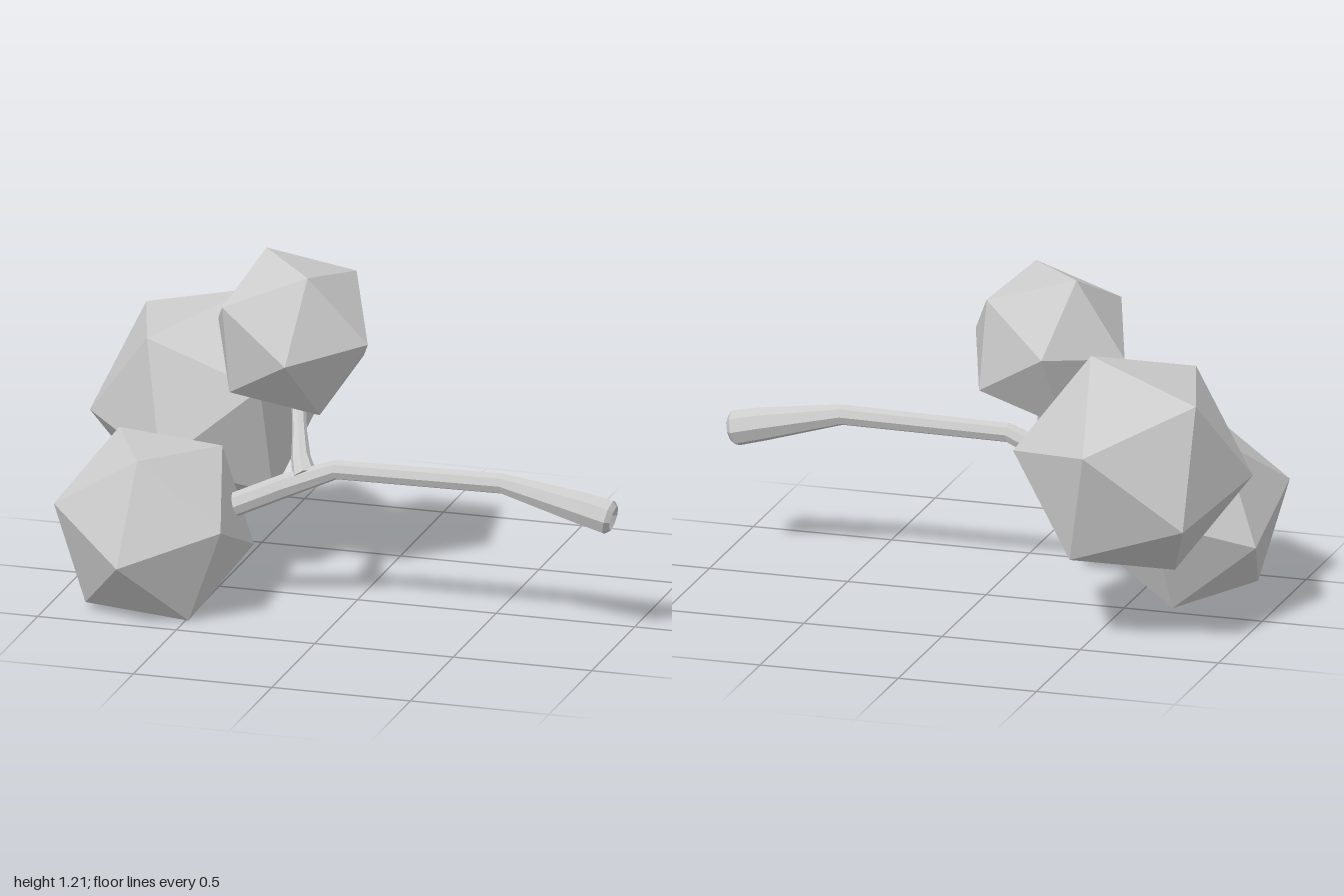
import * as THREE from 'three';

const material = new THREE.MeshStandardMaterial({ color: 0xcccccc, flatShading: true, side: THREE.DoubleSide });
const V = (a) => new THREE.Vector3(...a);

// Orthonormal frame spanned by two directions
function frame(p, q) {
  const x = p.clone().normalize();
  const z = p.clone().cross(q).normalize();
  return new THREE.Matrix4().makeBasis(x, z.clone().cross(x), z);
}

// Low-poly leaf clump: an icosahedron turned so two neighbouring corners point along p and q
function clump(name, centre, radius, p, q) {
  const t = (1 + Math.sqrt(5)) / 2;
  const turn = frame(V(p), V(q)).multiply(frame(V([-1, t, 0]), V([1, t, 0])).transpose());
  const geometry = new THREE.IcosahedronGeometry(radius, 0).applyMatrix4(turn);
  const mesh = new THREE.Mesh(geometry, material);
  mesh.name = name;
  mesh.position.set(...centre);
  return mesh;
}

// Faceted limb through sections [x, y, z, radius]; the end caps are dished by the given depths
function limb(name, sections, side, startDish = 0, endDish = 0, sides = 8) {
  const points = sections.map((s) => V(s.slice(0, 3)));
  const last = points.length - 1;
  const positions = [], index = [];
  const tangent = (i) => points[Math.min(i + 1, last)].clone().sub(points[Math.max(i - 1, 0)]).normalize();
  points.forEach((c, i) => {
    const u = V(side).cross(tangent(i)).normalize();
    const v = tangent(i).cross(u);
    for (let k = 0; k < sides; k++) {
      const a = (k / sides) * Math.PI * 2, r = sections[i][3];
      positions.push(...c.clone().addScaledVector(u, r * Math.cos(a)).addScaledVector(v, r * Math.sin(a)).toArray());
    }
  });
  for (let i = 0; i < last; i++) {
    for (let k = 0; k < sides; k++) {
      const a = i * sides + k, b = i * sides + ((k + 1) % sides);
      index.push(a, b, b + sides, a, b + sides, a + sides);
    }
  }
  const startCentre = positions.length / 3, endCentre = startCentre + 1;
  positions.push(...points[0].clone().addScaledVector(tangent(0), startDish).toArray());
  positions.push(...points[last].clone().addScaledVector(tangent(last), -endDish).toArray());
  for (let k = 0; k < sides; k++) {
    const n = (k + 1) % sides;
    index.push(startCentre, n, k, endCentre, last * sides + k, last * sides + n);
  }
  const geometry = new THREE.BufferGeometry();
  geometry.setAttribute('position', new THREE.Float32BufferAttribute(positions, 3));
  geometry.setIndex(index);
  geometry.computeVertexNormals();
  const mesh = new THREE.Mesh(geometry, material);
  mesh.name = name;
  return mesh;
}

export function createModel() {
  const group = new THREE.Group();
  group.name = 'fallenTree';

  // Trunk lying along x, flared at the root and bent down into the lower clump
  group.add(limb('trunk', [
    [-0.39, 0.375, 0.19, 0.042],
    [-0.2, 0.465, 0.19, 0.042],
    [-0.02, 0.54, 0.19, 0.035],
    [0.58, 0.548, 0.188, 0.037],
    [0.87, 0.486, 0.188, 0.06],
    [0.965, 0.463, 0.188, 0.063],
    [0.982, 0.459, 0.188, 0.045],
  ], [0, 0, 1], 0, 0.03));

  // Side branch rising backwards to the upper clump
  group.add(limb('sideBranch', [
    [-0.13, 0.5, 0.19, 0.045],
    [-0.165, 0.55, 0.13, 0.034],
    [-0.2, 0.61, 0.03, 0.026],
    [-0.235, 0.69, -0.07, 0.025],
    [-0.27, 0.77, -0.14, 0.025],
  ], [1, 0, 0]));

  // Leaf clumps
  group.add(clump('lowerLeaves', [-0.655, 0.303, 0.26], 0.362, [-0.025, -0.055, 0.355], [0.005, 0.295, 0.21]));
  group.add(clump('backLeaves', [-0.605, 0.613, -0.23], 0.416, [0.395, 0.045, -0.125], [0.06, 0.125, -0.39]));
  group.add(clump('upperLeaves', [-0.243, 0.95, -0.032], 0.305, [0.062, -0.032, 0.298], [0.292, 0.005, 0.078]));
  return group;
}
